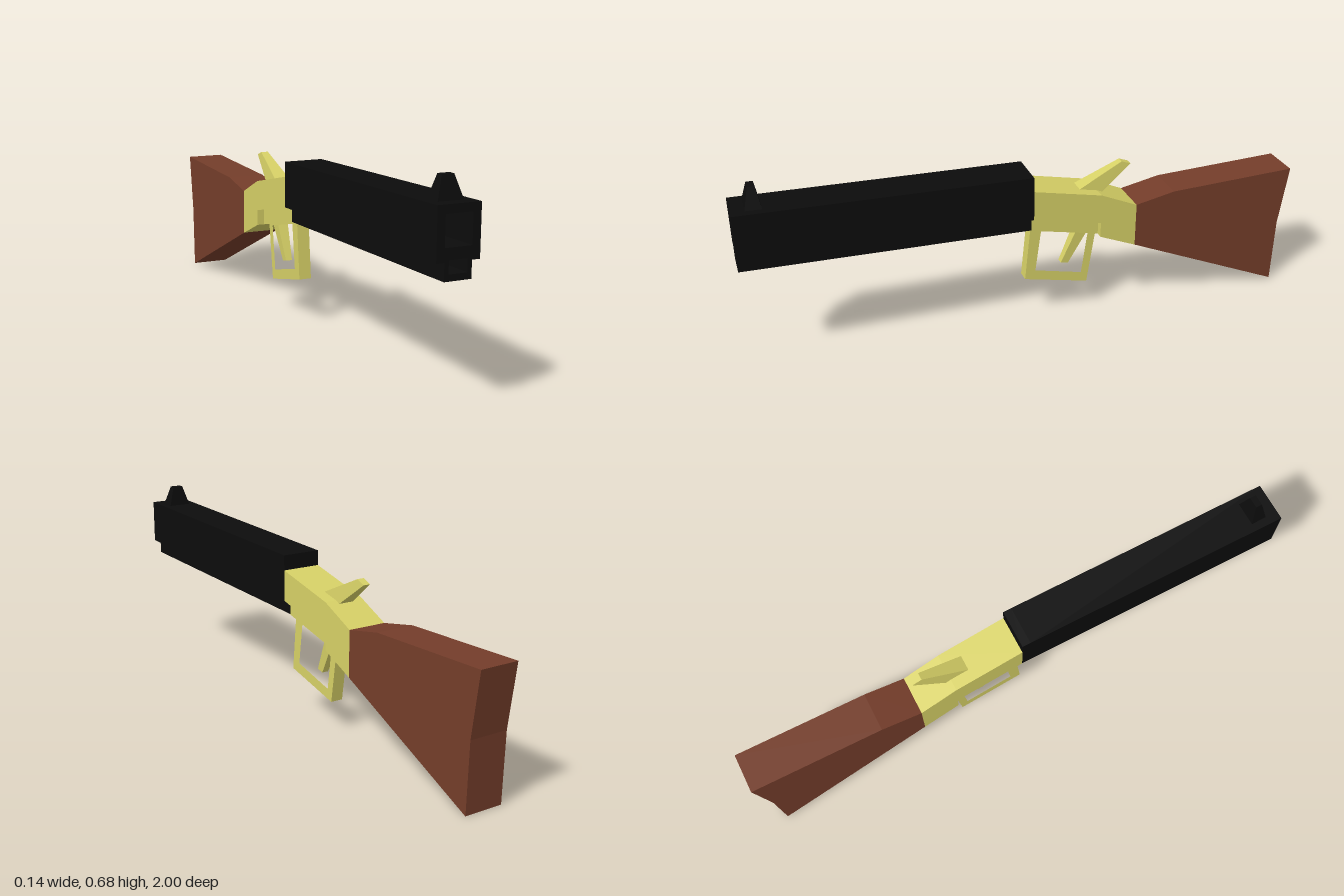
import * as THREE from 'three';

const material = (color) => new THREE.MeshStandardMaterial({ color, flatShading: true });

const shapeOf = (points) => new THREE.Shape(points.map(([a, b]) => new THREE.Vector2(a, b)));

// Side profile of [z, y] points, extruded across x; an optional rule gives the half width at (z, y)
function prism(profile, halfWidth, hole, widthRule) {
  const shape = shapeOf(profile);
  if (hole) shape.holes.push(shapeOf(hole));
  const geo = new THREE.ExtrudeGeometry(shape, { depth: 2 * halfWidth, bevelEnabled: false });
  geo.translate(0, 0, -halfWidth).rotateY(-Math.PI / 2);
  if (widthRule) {
    const p = geo.attributes.position;
    for (let i = 0; i < p.count; i++) {
      p.setX(i, Math.sign(p.getX(i)) * widthRule(p.getZ(i), p.getY(i)));
    }
    geo.computeVertexNormals();
  }
  return geo;
}

// Cross-section of [x, y] points run along z, sheared so that it rises towards the muzzle
function barrelRun(section, holes, z0, z1) {
  const shape = shapeOf(section);
  holes.forEach((h) => shape.holes.push(shapeOf(h)));
  const geo = new THREE.ExtrudeGeometry(shape, { depth: z1 - z0, bevelEnabled: false });
  geo.translate(0, 0, z0);
  const p = geo.attributes.position;
  for (let i = 0; i < p.count; i++) p.setY(i, p.getY(i) + 0.027 * (p.getZ(i) - 1));
  geo.computeVertexNormals();
  return geo;
}

const rect = (hw, y0, y1) => [[-hw, y0], [hw, y0], [hw, y1], [-hw, y1]];

export function createModel() {
  const model = new THREE.Group();
  const black = material(0x0c0c0c);
  const brass = material(0xd6d066);
  const wood = material(0x743d2a);

  const add = (name, geo, mat, parent = model) => {
    const mesh = new THREE.Mesh(geo, mat);
    mesh.name = name;
    parent.add(mesh);
  };

  // Barrel with the narrower magazine tube below, both bored from the muzzle
  const barrel = new THREE.Group();
  barrel.name = 'barrel';
  model.add(barrel);
  const section = [
    [-0.044, 0.395], [0.044, 0.395], [0.044, 0.449], [0.07, 0.449],
    [0.07, 0.61], [-0.07, 0.61], [-0.07, 0.449], [-0.044, 0.449],
  ];
  const bores = [rect(0.044, 0.49, 0.584), rect(0.03, 0.415, 0.455)];
  add('boredBarrel', barrelRun(section, bores, 0.03, 1), black, barrel);
  add('barrelBreech', barrelRun(section, [], 0, 0.03), black, barrel);

  // Front sight, narrowing upwards
  add('frontSight', prism(
    [[0.898, 0.6], [0.957, 0.6], [0.936, 0.68], [0.913, 0.68]], 0.044, null,
    (z, y) => (y > 0.65 ? 0.02 : 0.045)), black);

  // Receiver with its narrower underside block
  add('receiver', prism([
    [0, 0.53], [0, 0.421], [-0.25, 0.366], [-0.25, 0.31],
    [-0.385, 0.253], [-0.385, 0.415], [-0.25, 0.475],
  ], 0.07), brass);
  add('receiverUnderside', prism(
    [[0, 0.425], [0, 0.366], [-0.25, 0.31], [-0.25, 0.37]], 0.044), brass);

  // Lever loop and trigger
  add('leverLoop', prism(
    [[-0.003, 0.368], [0.017, 0.16], [-0.22, 0.106], [-0.25, 0.312]], 0.0225,
    [[-0.043, 0.35], [-0.022, 0.189], [-0.198, 0.147], [-0.22, 0.31]]), brass);
  add('trigger', prism(
    [[-0.18, 0.33], [-0.22, 0.318], [-0.15, 0.19], [-0.123, 0.196]], 0.02, null,
    (z, y) => (y > 0.25 ? 0.02 : 0.012)), brass);

  // Hammer, tapering towards its tip
  add('hammer', prism(
    [[-0.18, 0.488], [-0.265, 0.465], [-0.38, 0.553], [-0.345, 0.566]], 0.028, null,
    (z) => (z > -0.3 ? 0.028 : 0.013)), brass);

  // Shoulder stock
  add('stock', prism([
    [-0.385, 0.415], [-0.53, 0.444], [-1, 0.46],
    [-0.97, 0.24], [-0.964, 0.0], [-0.385, 0.253],
  ], 0.07), wood);

  return model;
}
